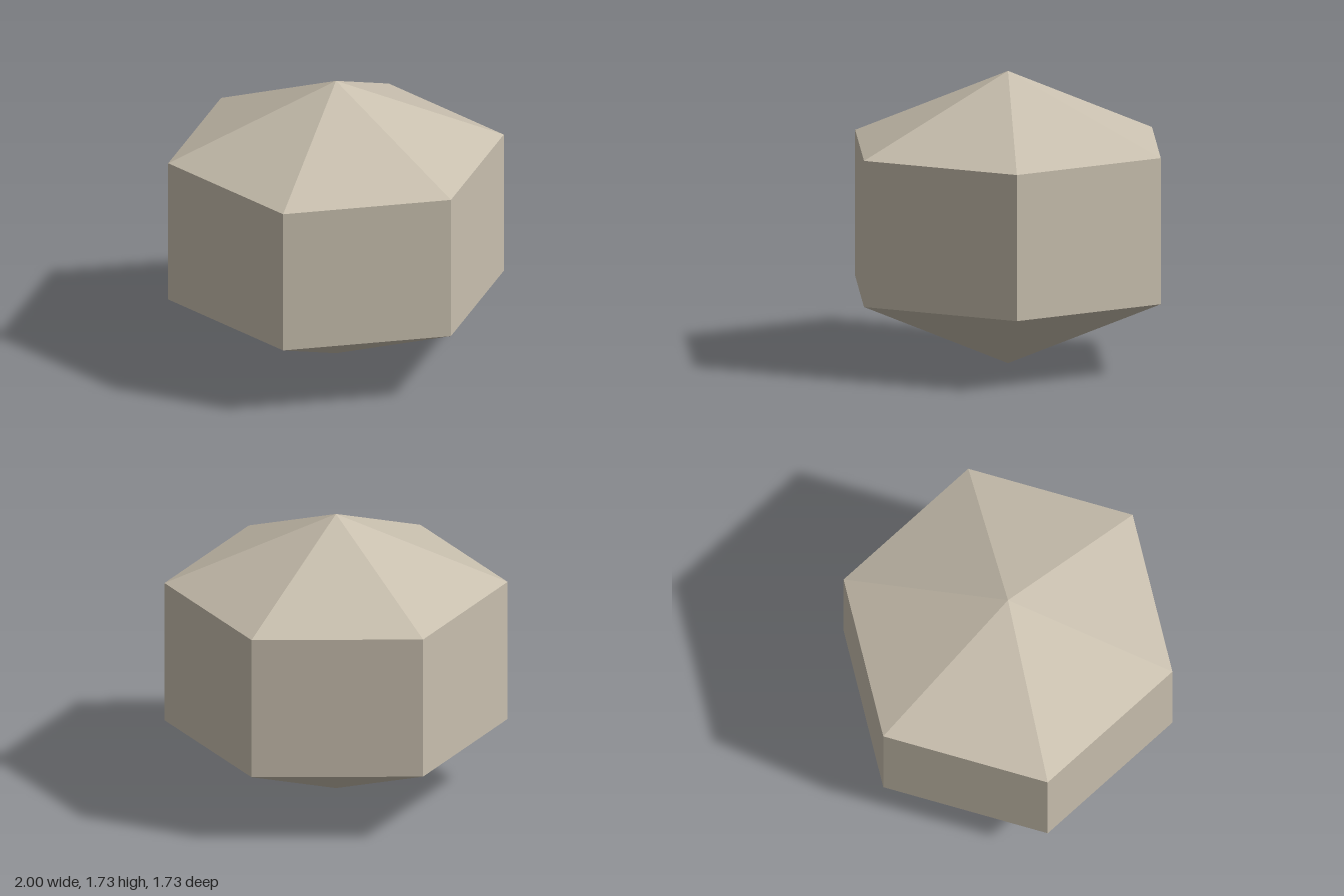
import * as THREE from 'three';

export function createModel() {
  const group = new THREE.Group();
  const stone = new THREE.MeshStandardMaterial({ color: 0xc8bfae, flatShading: true });
  stone.name = 'palestone';

  const r = 1, sides = 6;
  const wall = Math.sqrt(3) / 2, cap = wall / 2;

  // Six-sided open ring between two radii, with corners on the x axis
  function addSection(name, topRadius, bottomRadius, height, bottomY) {
    const geometry = new THREE.CylinderGeometry(
      topRadius, bottomRadius, height, sides, 1, true, Math.PI / 2);
    const mesh = new THREE.Mesh(geometry, stone);
    mesh.name = name;
    mesh.position.y = bottomY + height / 2;
    group.add(mesh);
  }

  addSection('lowerPyramid', r, 0, cap, 0);
  addSection('hexagonalBody', r, r, wall, cap);
  addSection('upperPyramid', 0, r, cap, cap + wall);

  return group;
}
